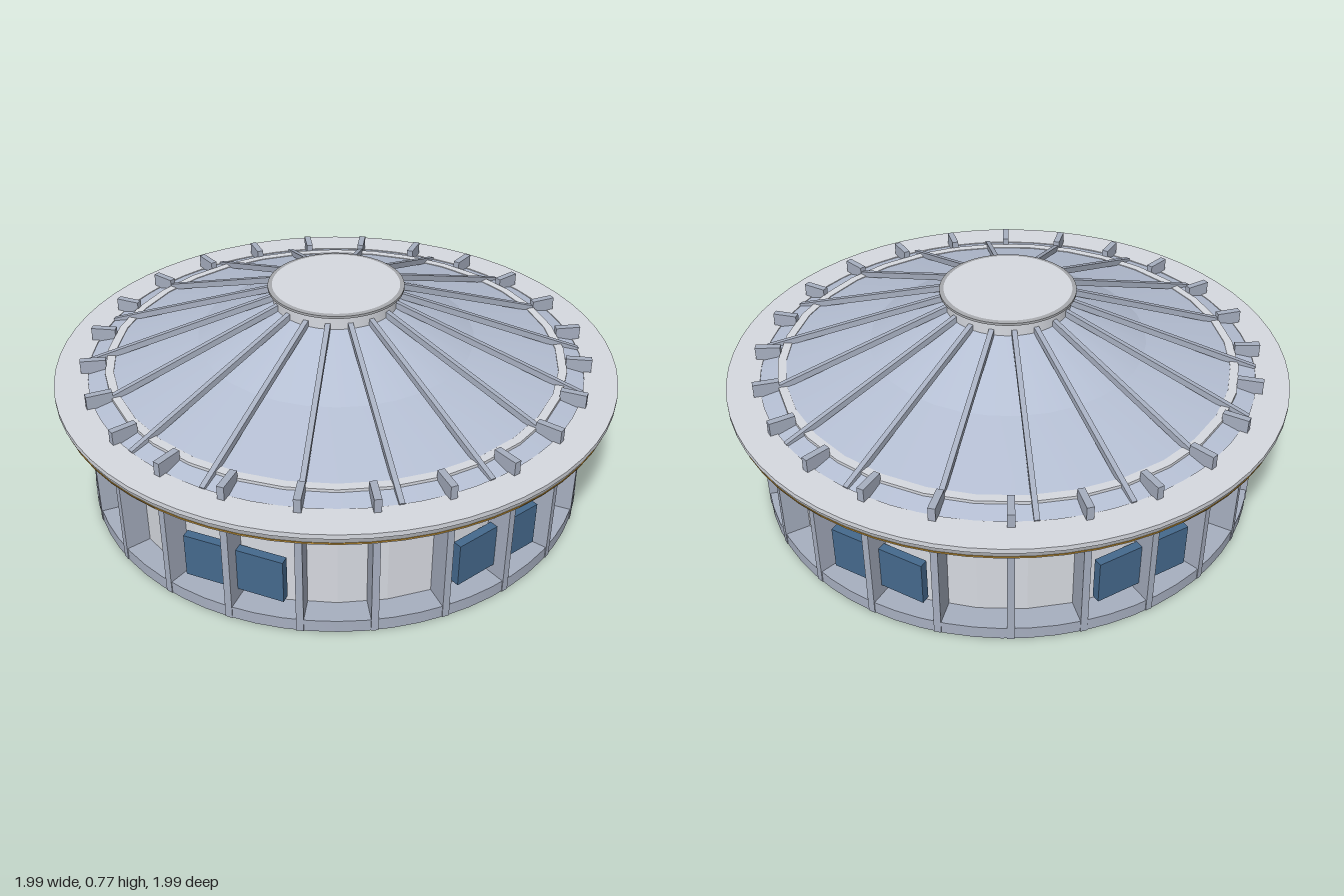
import * as THREE from 'three';
import { toCreasedNormals } from 'three/addons/utils/BufferGeometryUtils.js';

const mat = (name, color) => {
  const m = new THREE.MeshStandardMaterial({ color });
  m.name = name;
  return m;
};

export function createModel() {
  const concrete = mat('pale concrete', 0xd6d9e0);
  const rimGrey = mat('rim grey', 0xa6a8ac);
  const steel = mat('blue grey steel', 0xa7afc0);
  const roofBlue = mat('pale blue roof', 0xb5bfd3);
  const glass = mat('blue glass', 0x45698d);
  const gold = mat('gold trim', 0xb88a30);

  const model = new THREE.Group();
  model.name = 'roundBuilding';

  const add = (name, geometry, material, parent = model) => {
    const mesh = new THREE.Mesh(geometry, material);
    mesh.name = name;
    parent.add(mesh);
    return mesh;
  };
  // Revolved profile, listed as [radius, height] from bottom outwards and up
  const lathe = (name, points, material, segments = 64) => add(name, toCreasedNormals(
    new THREE.LatheGeometry(points.map(([r, y]) => new THREE.Vector2(r, y)), segments), 0.15), material);
  // Repeats a part around the axis; the part is made facing +z
  const around = (name, count, start, make) => {
    const ring = new THREE.Group();
    ring.name = name + 's';
    for (let i = 0; i < count; i++) {
      const arm = new THREE.Group();
      arm.name = name;
      arm.rotation.y = start + (i * Math.PI * 2) / count;
      make(arm);
      ring.add(arm);
    }
    model.add(ring);
  };

  // Floor, plinth ring and drum wall, whose top edge shows through the roof
  lathe('floor', [[0, 0], [0.858, 0]], concrete);
  lathe('plinth', [[0.858, 0], [0.903, 0], [0.903, 0.045], [0.8, 0.045]], steel);
  lathe('wall', [[0.82, 0.04], [0.82, 0.5], [0.79, 0.5], [0.79, 0.45]], concrete, 32);

  // Eave with its banded rim
  lathe('eaveUnderside', [[0.8, 0.43], [0.986, 0.43]], concrete);
  lathe('eaveRim', [[0.986, 0.43], [0.986, 0.458], [0.997, 0.46]], rimGrey);
  lathe('eaveTop', [[0.997, 0.46], [0.997, 0.477], [0.88, 0.477], [0.88, 0.45]], concrete);
  lathe('eaveTrim', [[0.98, 0.434], [0.988, 0.434], [0.988, 0.438], [0.98, 0.438]], gold);

  // Two-pitch roof and the flat cap with its lip
  lathe('roof', [[0.885, 0.473], [0.49, 0.573], [0.21, 0.71]], roofBlue, 32);
  lathe('capNeck', [[0.22, 0.695], [0.22, 0.758]], concrete);
  lathe('capLip', [[0.2, 0.755], [0.238, 0.755], [0.238, 0.764], [0.223, 0.766]], rimGrey);
  lathe('capTop', [[0.223, 0.766], [0, 0.767]], concrete);

  // Wall fins rising through the eave
  const finGeometry = new THREE.BoxGeometry(0.024, 0.525, 0.09);
  around('fin', 24, 0, (arm) => {
    add('finPost', finGeometry, steel, arm).position.set(0, 0.2625, 0.86);
  });

  // Sloping roof ribs
  const from = new THREE.Vector2(0.2, 0.722), to = new THREE.Vector2(0.88, 0.472);
  const ribGeometry = new THREE.BoxGeometry(0.018, 0.022, from.distanceTo(to));
  around('roofRib', 18, Math.PI / 2, (arm) => {
    const rib = add('ribBeam', ribGeometry, steel, arm);
    rib.position.set(0, (from.y + to.y) / 2, (from.x + to.x) / 2);
    rib.rotation.x = Math.atan2(from.y - to.y, to.x - from.x);
  });

  // Windows
  const windowGeometry = new THREE.BoxGeometry(0.345, 0.16, 0.03);
  around('window', 6, Math.PI / 12, (arm) => {
    add('windowPane', windowGeometry, glass, arm).position.set(0, 0.165, 0.842);
  });

  return model;
}
